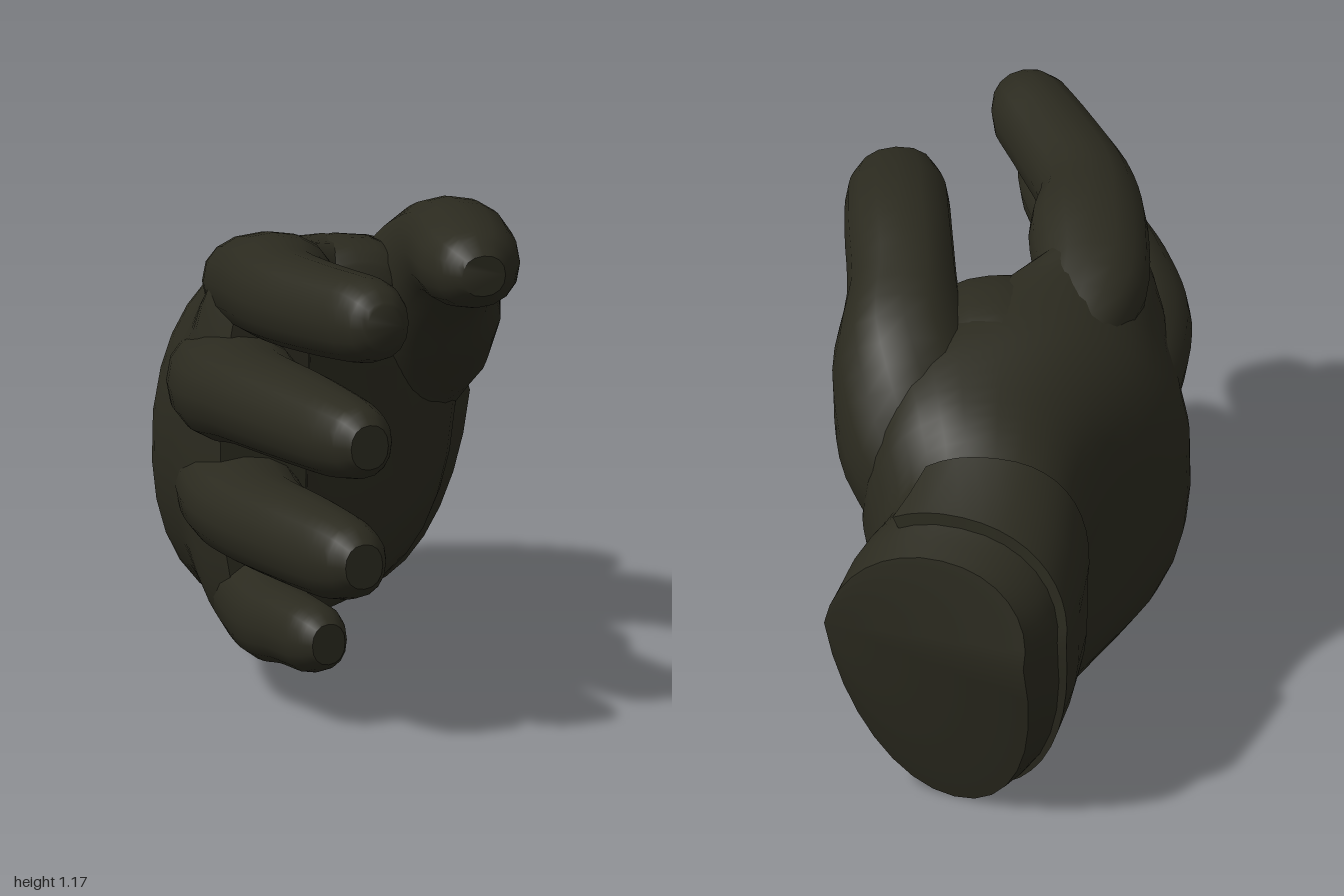
import * as THREE from 'three';
import { toCreasedNormals } from 'three/addons/utils/BufferGeometryUtils.js';

const fabric = new THREE.MeshStandardMaterial({ color: 0x2b2a1f });
fabric.name = 'darkOliveFabric';

const V = (x, y, z) => new THREE.Vector3(x, y, z);
const power = (v, e) => Math.sign(v) * Math.pow(Math.abs(v), e);

// Skin through a list of closed rings, with flat caps at both ends
function loft(name, rings, crease = 0.8) {
  const n = rings[0].length, pos = [], index = [];
  rings.forEach(r => r.forEach(p => pos.push(p.x, p.y, p.z)));
  for (let i = 0; i < rings.length - 1; i++) {
    for (let j = 0; j < n; j++) {
      const a = i * n + j, b = i * n + (j + 1) % n, c = a + n, d = b + n;
      index.push(a, b, d, a, d, c);
    }
  }
  const last = (rings.length - 1) * n;
  for (let j = 1; j < n - 1; j++) {
    index.push(0, j + 1, j);
    index.push(last, last + j, last + j + 1);
  }
  const geo = new THREE.BufferGeometry();
  geo.setAttribute('position', new THREE.Float32BufferAttribute(pos, 3));
  geo.setIndex(index);
  const mesh = new THREE.Mesh(toCreasedNormals(geo, crease), fabric);
  mesh.name = name;
  return mesh;
}

// Hand cross-sections from cuff opening to knuckles: palm side, top, back side, bottom
const sections = [
  [[.53, .48, -.68], [.27, .71, -.84], [.10, .48, -1.0], [.22, 0, -.73]],
  [[.47, .50, -.60], [.20, .75, -.74], [-.01, .48, -.89], [.18, .03, -.69]],
  [[.38, .50, -.47], [.10, .82, -.60], [-.10, .48, -.62], [.10, .10, -.56]],
  [[.38, .58, -.37], [.06, .91, -.44], [-.21, .50, -.42], [.02, .11, -.42]],
  [[.32, .58, -.20], [.00, 1.0, -.24], [-.44, .60, -.21], [-.10, .10, -.20]],
  [[.07, .58, -.03], [-.13, 1.04, -.03], [-.465, .65, -.03], [-.22, .11, 0]],
  [[-.14, .60, .12], [-.27, 1.08, .10], [-.455, .65, .10], [-.31, .10, .12]],
  [[-.20, .60, .22], [-.28, 1.06, .21], [-.42, .63, .22], [-.31, .13, .22]],
];
const rails = [0, 1, 2, 3].map(k =>
  new THREE.CatmullRomCurve3(sections.map(s => V(...s[k]))));

// Point on the hand surface: s runs along the hand, a runs around it;
// sections go from round at the cuff to squarer at the palm
function handPoint(s, a, offset = 0) {
  const [P, T, B, D] = rails.map(r => r.getPoint(s / (sections.length - 1)));
  const C = P.clone().add(B).multiplyScalar(0.5);
  const c = Math.cos(a), q = Math.sin(a);
  const e = THREE.MathUtils.lerp(0.96, c > 0 ? 0.76 : 0.85, Math.min(1, s / 3));
  const out = (c > 0 ? P : B).clone().sub(C).multiplyScalar(Math.abs(power(c, e)))
    .addScaledVector((q > 0 ? T : D).clone().sub(C), Math.abs(power(q, e)));
  return C.add(out).addScaledVector(out.clone().normalize(), offset);
}

function hand() {
  const rings = [];
  for (let i = 0; i <= 35; i++) {
    const ring = [];
    for (let j = 0; j < 32; j++) ring.push(handPoint(i / 5, j / 32 * Math.PI * 2));
    rings.push(ring);
  }
  return loft('palmAndCuff', rings);
}

// Raised closing strap over the top and back of the wrist, thinning towards the bottom
function strap() {
  const rings = [];
  for (let i = 0; i <= 24; i++) {
    const t = i / 24, a = THREE.MathUtils.degToRad(58 + t * 192);
    const lift = 0.03 - 0.02 * t * t;
    rings.push([
      handPoint(0.9, a, -.02), handPoint(2, a, -.02),
      handPoint(2, a, lift), handPoint(1.45, a, lift), handPoint(0.9, a, lift),
    ]);
  }
  return loft('wristStrap', rings, 0.6);
}

// Bent, tapering digit; rows are x, y, z, half width, half height
function digit(name, rows, sides = 16) {
  const path = new THREE.CatmullRomCurve3(rows.map(r => V(r[0], r[1], r[2])));
  const size = new THREE.CatmullRomCurve3(rows.map(r => V(r[3], r[4], 0)));
  const rings = [], steps = (rows.length - 1) * 4;
  for (let i = 0; i <= steps; i++) {
    const t = i / steps, p = path.getPoint(t), h = size.getPoint(t);
    const dir = path.getTangent(t);
    const side = V(0, 1, 0).cross(dir).normalize();
    const up = dir.clone().cross(side);
    const ring = [];
    for (let j = 0; j < sides; j++) {
      const a = j / sides * Math.PI * 2;
      ring.push(p.clone().addScaledVector(side, h.x * power(Math.cos(a), 0.9))
        .addScaledVector(up, h.y * power(Math.sin(a), 0.9)));
    }
    rings.push(ring);
  }
  return loft(name, rings);
}

export function createModel() {
  const glove = new THREE.Group();
  glove.name = 'glove';
  glove.add(hand(), strap());

  // Four fingers growing out of the knuckles, curling slightly towards the palm
  glove.add(digit('indexFinger', [
    [-.13, .87, -.25, .07, .06], [-.24, .95, -.02, .135, .11],
    [-.275, .99, .2, .145, .125], [-.305, 1.0, .38, .12, .115],
    [-.275, 1.01, .6, .11, .11], [-.24, 1.02, .77, .1, .105], [-.23, 1.02, .84, .08, .085],
    [-.225, 1.02, .87, .05, .055]]));
  glove.add(digit('middleFinger', [
    [-.22, .69, -.25, .09, .08], [-.33, .72, -.02, .135, .12],
    [-.37, .74, .2, .155, .13], [-.385, .755, .38, .135, .115],
    [-.36, .76, .62, .125, .11], [-.33, .76, .86, .105, .1], [-.315, .76, .96, .08, .085],
    [-.31, .76, 1.0, .05, .055]]));
  glove.add(digit('ringFinger', [
    [-.2, .47, -.25, .08, .08], [-.31, .47, -.02, .135, .115],
    [-.355, .46, .2, .145, .115], [-.37, .455, .38, .13, .11],
    [-.35, .455, .6, .12, .11], [-.32, .45, .8, .1, .105], [-.305, .45, .89, .08, .085],
    [-.3, .45, .93, .05, .055]]));
  glove.add(digit('littleFinger', [
    [-.16, .29, -.25, .06, .06], [-.27, .24, -.02, .105, .105],
    [-.315, .21, .2, .1, .105], [-.335, .2, .36, .09, .1],
    [-.33, .21, .5, .085, .09], [-.32, .21, .62, .08, .085], [-.315, .21, .67, .065, .07],
    [-.31, .21, .7, .045, .05]]));

  // Thumb swelling out of the heel of the palm, and the web beside it
  glove.add(digit('thumb', [
    [.14, .4, -.36, .1, .06], [.19, .56, -.31, .17, .13], [.225, .72, -.25, .19, .18],
    [.235, .86, -.13, .175, .195],
    [.21, .97, .03, .135, .16], [.19, 1.04, .2, .13, .125], [.165, 1.045, .36, .125, .11],
    [.15, 1.045, .46, .1, .09], [.15, 1.045, .515, .055, .05]]));
  glove.add(digit('thumbWeb', [
    [.02, .8, -.36, .14, .1], [.01, .88, -.18, .18, .13], [0, .92, -.05, .16, .11],
    [0, .935, .02, .13, .08], [0, .94, .045, .08, .04]]));
  return glove;
}
